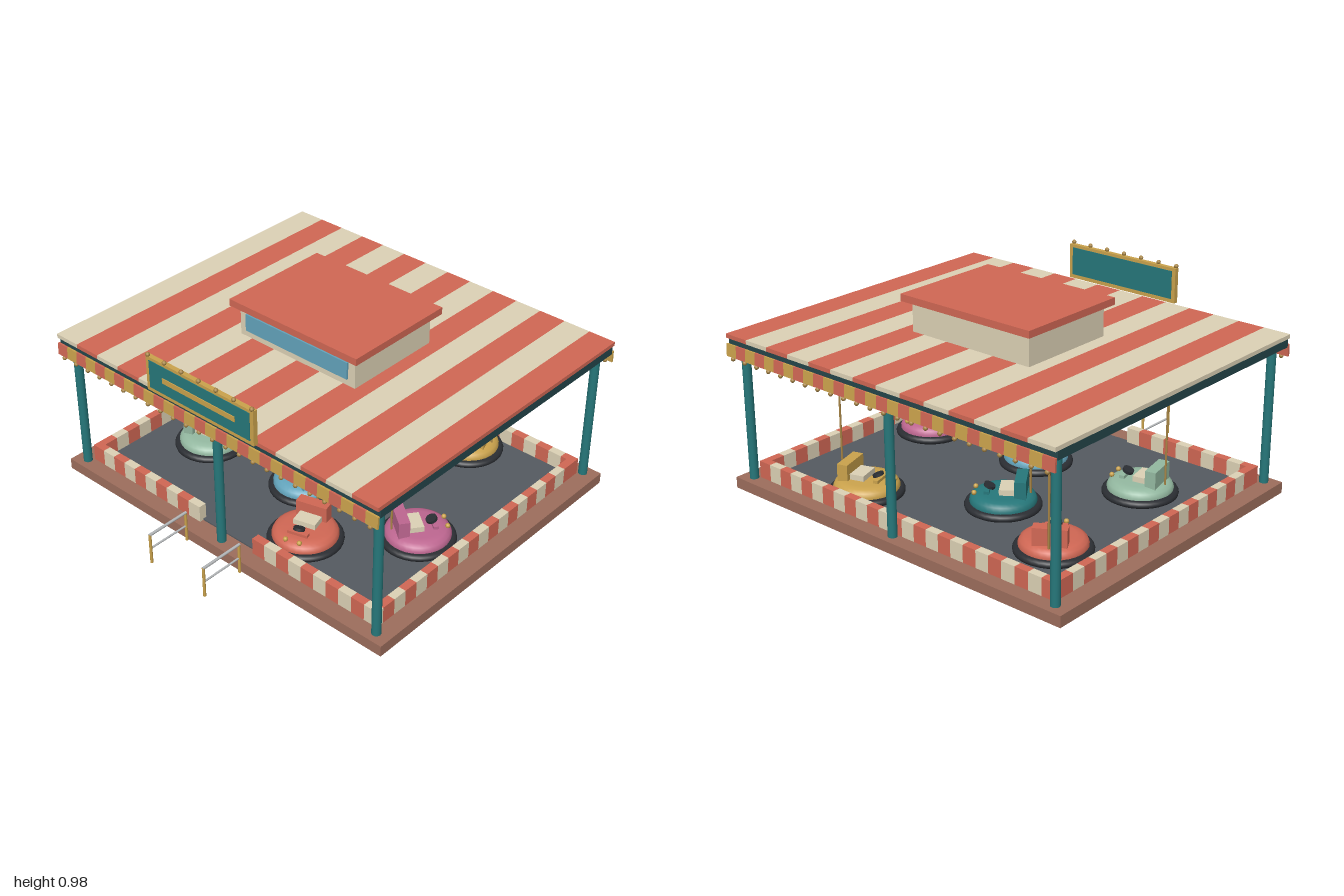
import * as THREE from 'three';

const C = {
  red: 0xd06754, cream: 0xdcd1b5, teal: 0x26777a, dark: 0x24454a, gold: 0xcaa24c, brown: 0x9c6d5c,
  floor: 0x555a60, black: 0x2b2e33, blue: 0x62a3bb, green: 0x93b8a0, pink: 0xbd6690, steel: 0xb5b8ba, bulb: 0xa98646,
};
const mats = {};
const mat = (c) => (mats[c] ??= new THREE.MeshStandardMaterial({ color: C[c] }));

function add(parent, name, geo, color, x = 0, y = 0, z = 0) {
  const m = new THREE.Mesh(geo, mat(color));
  m.name = name;
  m.position.set(x, y, z);
  parent.add(m);
  return m;
}
// box given by its min and max on each axis
function box(parent, name, color, x0, x1, y0, y1, z0, z1) {
  return add(parent, name, new THREE.BoxGeometry(x1 - x0, y1 - y0, z1 - z0), color,
    (x0 + x1) / 2, (y0 + y1) / 2, (z0 + z1) / 2);
}
function rod(parent, name, color, r, x, y0, y1, z, seg = 12) {
  return add(parent, name, new THREE.CylinderGeometry(r, r, y1 - y0, seg), color, x, (y0 + y1) / 2, z);
}
function group(parent, name) {
  const g = new THREE.Group();
  g.name = name;
  parent.add(g);
  return g;
}

// one bumper car; its local +z is the driving direction
function bumperCar(parent, color, x, z, dx, dz) {
  const car = group(parent, 'bumperCar');
  car.position.set(x, 0.062, z);
  car.rotation.y = Math.atan2(dx, dz);
  const lathe = (pts) => new THREE.LatheGeometry(pts.map((p) => new THREE.Vector2(...p)), 32);
  add(car, 'bumper', lathe([[0, 0], [0.165, 0], [0.178, 0.008], [0.18, 0.018], [0.176, 0.028], [0.165, 0.035], [0, 0.035]]), 'black');
  add(car, 'body', lathe([[0.155, 0.03], [0.156, 0.045], [0.148, 0.062], [0.13, 0.074], [0.1, 0.08], [0, 0.082]]), color);
  box(car, 'seatBack', color, -0.0775, 0.0775, 0.07, 0.158, -0.11, -0.057);
  box(car, 'seat', 'cream', -0.055, 0.055, 0.07, 0.108, -0.057, 0.015);
  box(car, 'dashboard', color, -0.05, 0.05, 0.07, 0.095, 0.06, 0.085);
  const wheel = add(car, 'steeringWheel', new THREE.CylinderGeometry(0.027, 0.027, 0.014, 16), 'black', 0, 0.105, 0.062);
  wheel.rotation.x = -0.4;
  for (const s of [-1, 1]) {
    add(car, 'headlight', new THREE.SphereGeometry(0.012, 10, 8), 'gold', s * 0.035, 0.082, 0.13);
  }
  rod(car, 'powerPole', 'bulb', 0.005, 0, 0.07, 0.63, -0.125, 8);
  add(car, 'poleContact', new THREE.SphereGeometry(0.011, 10, 8), 'bulb', 0, 0.63, -0.125);
}

// low wall of alternating blocks, running along x or z
function stripedWall(parent, alongX, from, to, fixed, count) {
  const wall = group(parent, 'stripedWall');
  const step = (to - from) / count, t = 0.02;
  for (let i = 0; i < count; i++) {
    const a = from + i * step, b = a + step, color = i % 2 ? 'cream' : 'red';
    if (alongX) box(wall, 'wallBlock', color, a, b, 0.055, 0.14, fixed - t, fixed + t);
    else box(wall, 'wallBlock', color, fixed - t, fixed + t, 0.055, 0.14, a, b);
  }
}

export function createModel() {
  const root = new THREE.Group();
  root.name = 'bumperCarRide';

  // platform and driving floor
  box(root, 'platform', 'brown', -1, 1, 0, 0.055, -0.93, 0.72);
  box(root, 'floor', 'floor', -0.88, 0.88, 0.05, 0.062, -0.84, 0.62);

  // surrounding walls, with an entrance gap at the front
  stripedWall(root, true, -0.91, -0.17, 0.62, 10);
  stripedWall(root, true, 0.17, 0.91, 0.62, 10);
  stripedWall(root, true, -0.91, 0.91, -0.835, 25);
  for (const x of [-0.89, 0.89]) stripedWall(root, false, -0.815, 0.6, x, 19);

  // columns
  for (const z of [0.667, -0.877]) {
    for (const x of [-0.93, 0, 0.93]) rod(root, 'column', 'teal', 0.022, x, 0.055, 0.735, z, 16);
  }

  // canopy: frame and striped roof
  box(root, 'roofFrame', 'dark', -0.98, 0.98, 0.73, 0.77, -0.93, 0.72);
  const roof = group(root, 'stripedRoof');
  for (let i = 0; i < 14; i++) {
    const x = -0.98 + i * 0.14;
    box(roof, 'roofStripe', i % 2 ? 'red' : 'cream', x, x + 0.14, 0.77, 0.79, -0.945, 0.735);
  }

  // valances with bulbs along the front and back edges
  for (const [z, s] of [[0.732, 1], [-0.942, -1]]) {
    const valance = group(root, 'valance');
    const w = 1.96 / 30;
    for (let i = 0; i < 30; i++) {
      const x = -0.98 + i * w;
      const flap = box(valance, 'flap', i % 2 ? 'gold' : 'red', x, x + w, 0.682, 0.742, z - 0.005, z + 0.005);
      flap.rotation.x = s * -0.06;
    }
    for (let i = 0; i < 24; i++) {
      add(valance, 'bulb', new THREE.SphereGeometry(0.011, 8, 6), 'bulb', -0.94 + i * 0.0817, 0.675, z + s * 0.003);
    }
  }

  // rooftop housing with a window
  const cupola = group(root, 'rooftopHousing');
  box(cupola, 'housingWalls', 'cream', -0.35, 0.35, 0.79, 0.94, -0.365, 0.155);
  box(cupola, 'housingRoof', 'red', -0.385, 0.385, 0.94, 0.975, -0.405, 0.19);
  box(cupola, 'housingWindow', 'blue', -0.31, 0.31, 0.825, 0.912, 0.15, 0.165);

  // sign board
  const sign = group(root, 'signBoard');
  box(sign, 'signFrame', 'gold', -0.325, 0.325, 0.79, 0.965, 0.742, 0.766);
  box(sign, 'signPanel', 'teal', -0.305, 0.305, 0.81, 0.95, 0.739, 0.769);
  box(sign, 'signBar', 'gold', -0.22, 0.22, 0.868, 0.894, 0.765, 0.773);
  for (let i = -3; i <= 3; i++) {
    add(sign, 'signBulb', new THREE.SphereGeometry(0.011, 8, 6), 'bulb', i * 0.105, 0.972, 0.762);
  }

  // entrance handrails
  for (const x of [-0.172, 0.172]) {
    const rail = group(root, 'handrail');
    for (const z of [0.727, 0.947]) rod(rail, 'railPost', 'gold', 0.007, x, 0, 0.16, z, 10);
    for (const [y, r] of [[0.158, 0.007], [0.082, 0.005]]) {
      const bar = add(rail, 'railBar', new THREE.CylinderGeometry(r, r, 0.228, 10), 'steel', x, y, 0.837);
      bar.rotation.x = Math.PI / 2;
    }
  }

  // cars: colour, position, driving direction
  const cars = [
    ['green', -0.572, 0.17, 0.97, -0.2],
    ['teal', -0.183, -0.348, 0.81, -0.58],
    ['blue', 0.015, 0.115, -0.95, -0.3],
    ['red', 0.285, 0.41, 0.27, 0.96],
    ['gold', 0.394, -0.652, -0.95, 0.3],
    ['pink', 0.662, 0.062, 0.6, -0.8],
    ['red', -0.632, -0.53, 0.5, 0.86],
  ];
  for (const c of cars) bumperCar(root, ...c);
  return root;
}
